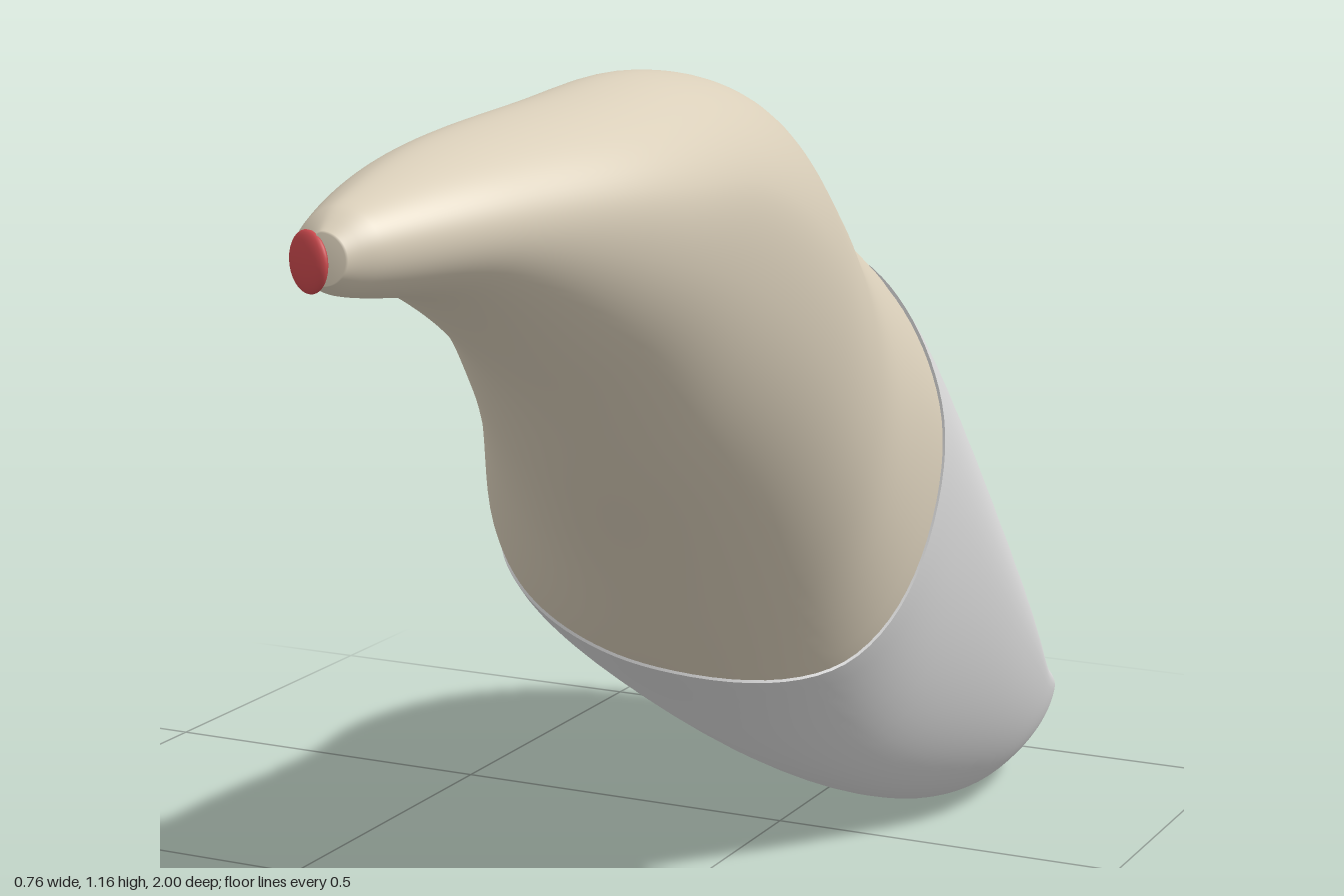
import * as THREE from 'three';

// Cross-sections along z: z, left x,y, top x,y, right x,y, bottom x,y, hollowness of the upper right arc
const SECTIONS = [
  [-1.0, -0.19, 0.26, -0.14, 0.28, -0.06, 0.23, -0.10, 0.21, 1.0],
  [-0.975, -0.28, 0.29, -0.22, 0.35, 0.17, 0.14, 0.09, 0.08, 1.5],
  [-0.93, -0.34, 0.32, -0.27, 0.42, 0.25, 0.14, 0.12, 0.03, 1.9],
  [-0.8, -0.383, 0.36, -0.29, 0.53, 0.293, 0.2, 0.14, 0.0, 2.0],
  [-0.6, -0.363, 0.42, -0.17, 0.71, 0.33, 0.33, 0.13, 0.025, 1.35],
  [-0.4, -0.303, 0.45, 0.02, 0.855, 0.295, 0.55, 0.09, 0.105, 1],
  [-0.2, -0.263, 0.47, 0.1, 0.948, 0.293, 0.64, 0.03, 0.25, 1],
  [0, -0.195, 0.56, 0.17, 1.037, 0.335, 0.76, 0.0, 0.385, 1],
  [0.2, -0.1, 0.74, 0.2, 1.125, 0.369, 0.9, 0.07, 0.54, 1],
  [0.4, -0.024, 0.89, 0.2, 1.16, 0.379, 1.0, 0.14, 0.683, 1],
  [0.6, 0.033, 1.0, 0.2, 1.149, 0.364, 1.03, 0.19, 0.835, 1],
  [0.8, 0.058, 1.03, 0.17, 1.122, 0.292, 1.04, 0.18, 0.953, 1],
  [0.96, 0.108, 1.03, 0.16, 1.077, 0.213, 1.033, 0.16, 0.985, 1],
  [0.992, 0.14, 1.025, 0.16, 1.053, 0.187, 1.027, 0.16, 1.0, 1],
];
const SEGMENTS = 96;
const TIP = 0.992;

// z of the neck line at every 45 degrees, from the right side over the top
const NECK = [-0.355, -0.36, -0.38, -0.34, -0.12, -0.04, -0.08, -0.25];

function neckZ(angle) {
  const t = (angle / (Math.PI / 4)) % 8;
  const i = Math.floor(t), f = t - i;
  const [a, b, c, d] = [7, 8, 9, 10].map((k) => NECK[(i + k) % 8]);
  return b + 0.5 * f * (c - a + f * (2 * a - 5 * b + 4 * c - d + f * (3 * (b - c) + d - a)));
}

// Smooth interpolation of the cross-section table
function sectionAt(z) {
  const last = SECTIONS.length - 1;
  let i = 0;
  while (i < last - 1 && z > SECTIONS[i + 1][0]) i++;
  const a = SECTIONS[i], b = SECTIONS[i + 1];
  const h = b[0] - a[0];
  const t = THREE.MathUtils.clamp((z - a[0]) / h, 0, 1);
  const slope = (n, k) => {
    const p = SECTIONS[Math.max(n - 1, 0)], q = SECTIONS[Math.min(n + 1, last)];
    return (q[k] - p[k]) / (q[0] - p[0]);
  };
  return a.map((v, k) =>
    v * (2 * t ** 3 - 3 * t ** 2 + 1) + b[k] * (3 * t ** 2 - 2 * t ** 3) +
    h * (slope(i, k) * (t ** 3 - 2 * t ** 2 + t) + slope(i + 1, k) * (t ** 3 - t ** 2)));
}

// Four quarter arcs joining the extreme points of a section.
// The crown is flatter on its left and has a groove beside its upper ridge.
function arcPoint(s, angle) {
  const [z, lx, ly, tx, ty, rx, ry, bx, by, hollow] = s;
  const c = Math.cos(angle), n = Math.sin(angle);
  const right = c >= 0, up = n >= 0;
  const crown = THREE.MathUtils.smoothstep(-z, 0.15, 0.7);
  const e = right ? (up ? hollow : 1) : (up ? 1.25 : 1) + (up ? 0.25 : 0.4) * crown;
  const eAcross = right && up ? hollow ** 1.6 : e;
  const sx = right ? rx : lx, sy = right ? ry : ly;
  const ex = up ? tx : bx, ey = up ? ty : by;
  return [ex + (sx - ex) * Math.abs(c) ** eAcross, sy + (ey - sy) * Math.abs(n) ** e];
}

// Softened surface point, scaled about the middle of its section
function surfacePoint(angle, z, scale = 1) {
  const s = sectionAt(z);
  const cx = (s[1] + s[5]) / 2, cy = (s[4] + s[8]) / 2;
  let x = 0, y = 0;
  for (let k = -2; k <= 2; k++) {
    const p = arcPoint(s, angle + k * 0.09);
    x += p[0] / 5;
    y += p[1] / 5;
  }
  return [cx + (x - cx) * scale, cy + (y - cy) * scale, z];
}

// Skin of rows around the tooth; pointAt(angle, row) gives each vertex
function skin(rows, pointAt) {
  const positions = [], index = [];
  for (let i = 0; i <= rows; i++) {
    for (let j = 0; j < SEGMENTS; j++) {
      positions.push(...pointAt((j / SEGMENTS) * Math.PI * 2, i));
      if (i === rows) continue;
      const a = i * SEGMENTS + j, b = i * SEGMENTS + (j + 1) % SEGMENTS;
      index.push(a, b, a + SEGMENTS, b, b + SEGMENTS, a + SEGMENTS);
    }
  }
  const geometry = new THREE.BufferGeometry();
  geometry.setAttribute('position', new THREE.Float32BufferAttribute(positions, 3));
  geometry.setIndex(index);
  geometry.computeVertexNormals();
  return geometry;
}

export function createModel() {
  const tooth = new THREE.Group();
  tooth.name = 'tooth';
  const material = (name, color) => {
    const m = new THREE.MeshStandardMaterial({ color });
    m.name = name;
    return m;
  };
  const enamel = material('enamel', 0xdadada);
  const dentine = material('rootBeige', 0xdacfba);
  const pulp = material('pulpRed', 0xc8484c);
  const add = (name, geometry, mat) => {
    const mesh = new THREE.Mesh(geometry, mat);
    mesh.name = name;
    tooth.add(mesh);
    return mesh;
  };
  const LIP = 1.012;

  // Crown, closed at the biting edge
  const crownRows = 48;
  add('crown', skin(crownRows, (angle, i) => {
    if (i === 0) return surfacePoint(angle, -1, 0.001);
    const t = (i - 1) / (crownRows - 1);
    return surfacePoint(angle, -1 + (neckZ(angle) + 1) * t ** 1.8, 1 + (LIP - 1) * t);
  }), enamel);

  // Thin step where the crown overlaps the root
  add('neckRim', skin(1, (angle, i) =>
    surfacePoint(angle, neckZ(angle), i ? 0.97 : LIP)), enamel);

  // Root, closed at the tip
  const rootRows = 56;
  add('root', skin(rootRows, (angle, i) => {
    if (i === rootRows) return surfacePoint(angle, TIP, 0.001);
    const t = i / (rootRows - 1), z0 = neckZ(angle) - 0.01;
    return surfacePoint(angle, z0 + (TIP - z0) * (1 - (1 - t) ** 1.6));
  }), dentine);

  // Nerve opening on the slanted left side of the root tip
  const canal = add('nerveOpening', new THREE.SphereGeometry(0.032, 24, 16), pulp);
  canal.scale.z = 0.3;
  canal.rotation.y = -0.45;
  canal.position.set(0.141, 1.022, 0.985);

  return tooth;
}
